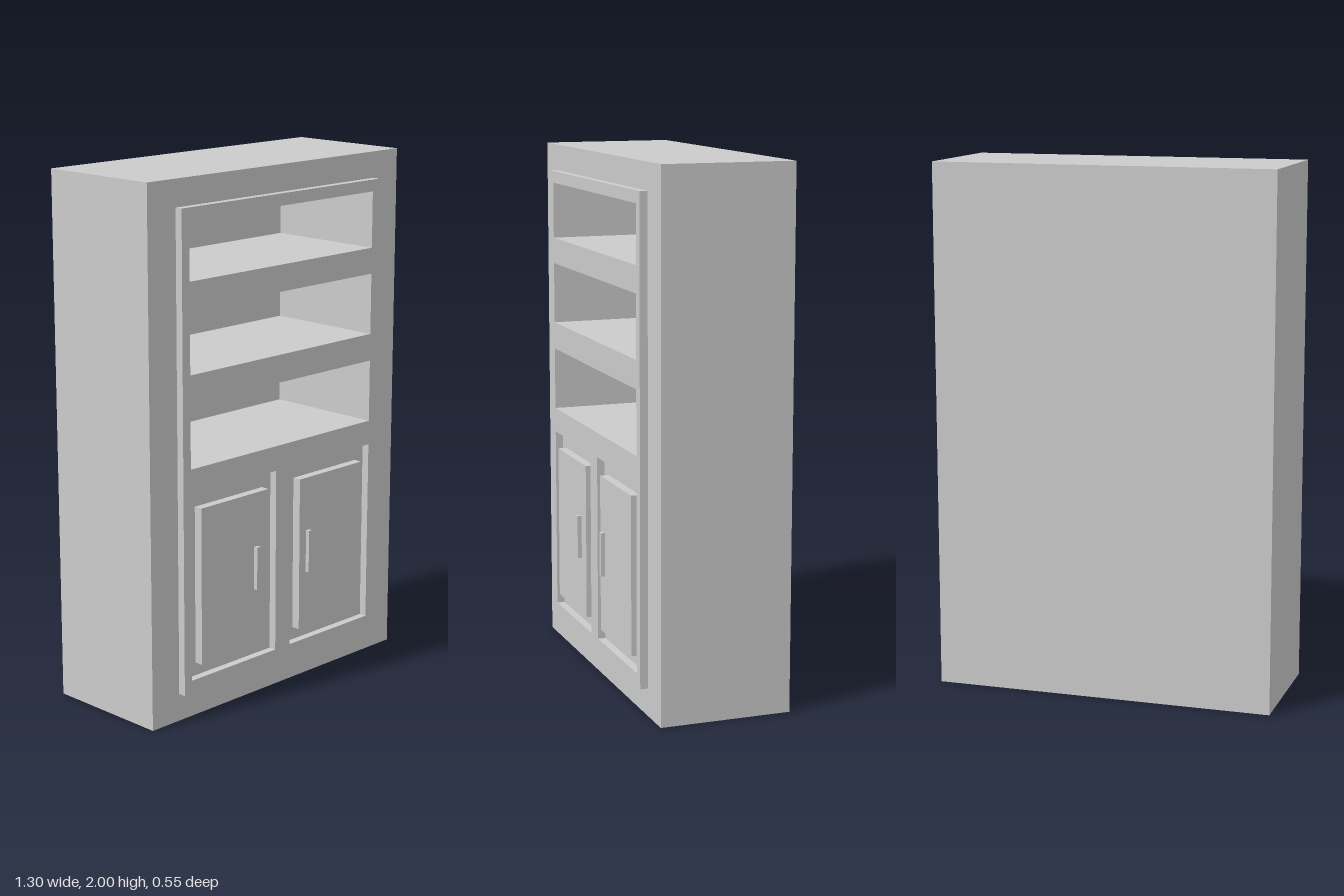
import * as THREE from 'three';

const material = new THREE.MeshStandardMaterial({ color: 0xcccccc, flatShading: true });
const BACK = -0.275, CASE_FRONT = 0.225, FRAME_FRONT = 0.255;

// Openings as [x0, y0, x1, y1]
const shelfOpenings = [[0.96, 1.2], [1.305, 1.54], [1.64, 1.855]].map(([y0, y1]) => [-0.48, y0, 0.48, y1]);
const doorOpenings = [[-0.48, 0.155, -0.04, 0.865], [0.04, 0.155, 0.48, 0.865]];

function add(group, name, geometry) {
  const mesh = new THREE.Mesh(geometry, material);
  mesh.name = name;
  group.add(mesh);
  return mesh;
}

function trace(path, [x0, y0, x1, y1]) {
  path.moveTo(x0, y0);
  path.lineTo(x1, y0);
  path.lineTo(x1, y1);
  path.lineTo(x0, y1);
  path.closePath();
  return path;
}

// Upright slab with rectangular openings, between two depths
function slab(outline, openings, z0, z1) {
  const shape = trace(new THREE.Shape(), outline);
  shape.holes = openings.map((o) => trace(new THREE.Path(), o));
  return new THREE.ExtrudeGeometry(shape, { depth: z1 - z0, bevelEnabled: false }).translate(0, 0, z0);
}

export function createModel() {
  const model = new THREE.Group();
  model.name = 'bookcase';

  // Deep case with open shelf compartments, closed by a back board
  const outer = [-0.65, 0, 0.65, 2];
  add(model, 'case', slab(outer, shelfOpenings, BACK + 0.05, CASE_FRONT));
  add(model, 'backBoard', slab(outer, [], BACK, BACK + 0.05));

  // Raised face frame around the shelves and doors
  add(model, 'faceFrame', slab([-0.517, 0.105, 0.517, 1.9], [...shelfOpenings, ...doorOpenings], CASE_FRONT, FRAME_FRONT));

  // Door panels set in the frame, each with an upright pull
  for (const [side, s] of [['left', 1], ['right', -1]]) {
    const door = new THREE.Group();
    door.name = side + 'Door';
    const panel = add(door, 'doorPanel', new THREE.BoxGeometry(0.347, 0.6, 0.034));
    panel.position.set(s * 0.2595, 0.505, 0.242);
    const handle = add(door, 'doorHandle', new THREE.BoxGeometry(0.018, 0.167, 0.02));
    handle.position.set(s * 0.131 - (s < 0 ? 0.02 : 0), 0.513, 0.265);
    model.add(door);
  }
  return model;
}
